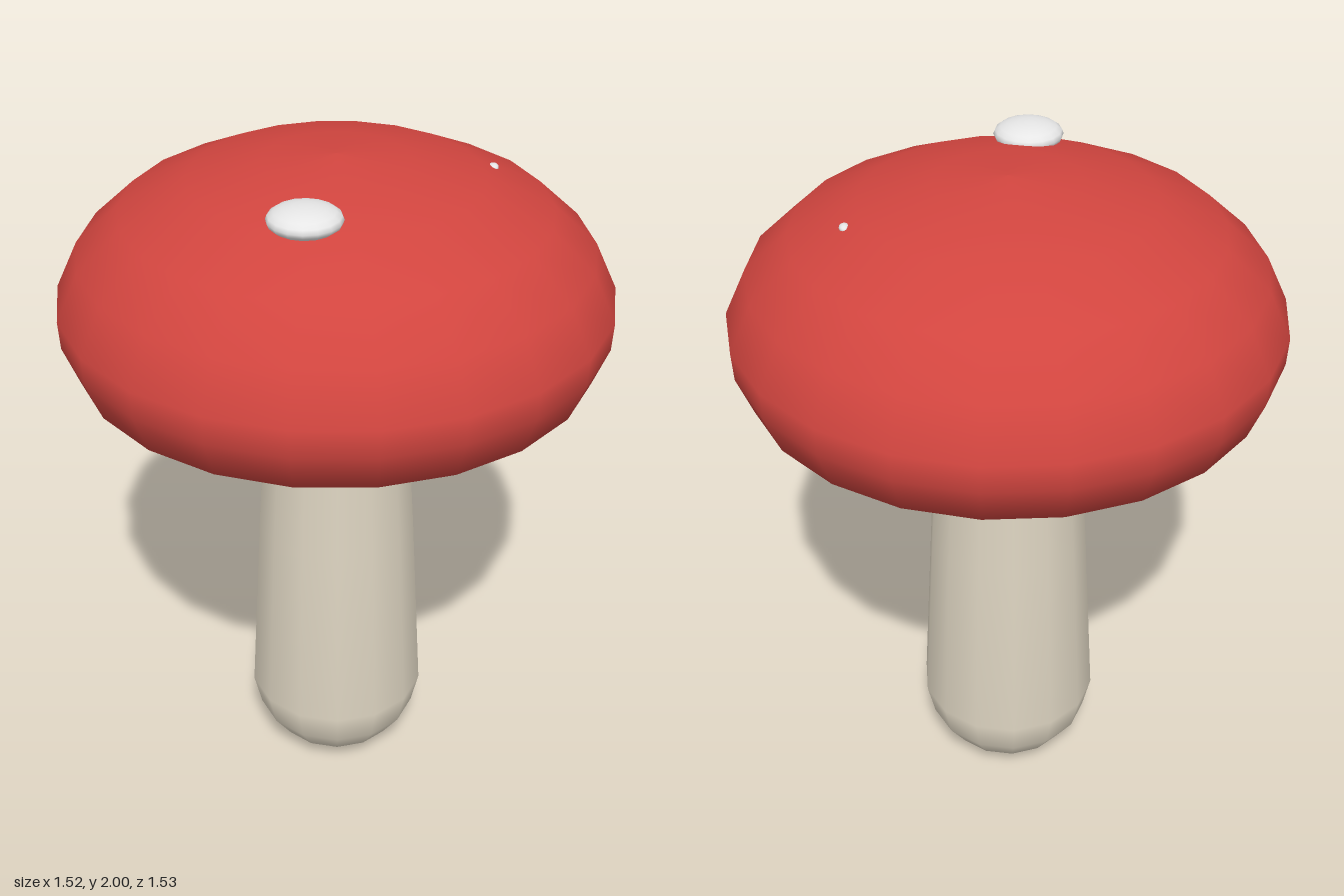
import * as THREE from 'three';

const paint = (name, color) => {
  const m = new THREE.MeshStandardMaterial({ color });
  m.name = name;
  return m;
};

// Round part turned from a profile of [radius, height], listed bottom to top
function turned(name, profile, sides, material) {
  const points = profile.map(([r, y]) => new THREE.Vector2(r, y));
  const mesh = new THREE.Mesh(new THREE.LatheGeometry(points, sides), material);
  mesh.name = name;
  return mesh;
}

// Flattened wart lying on the cap
function wart(name, position, radii, material) {
  const mesh = new THREE.Mesh(new THREE.SphereGeometry(1, 16, 10), material);
  mesh.scale.set(...radii);
  mesh.position.set(...position);
  mesh.name = name;
  return mesh;
}

export function createModel() {
  const red = paint('cap red', 0xd1453f);
  const cream = paint('stem cream', 0xdcd3c0);
  const white = paint('wart white', 0xe6e6e6);

  const group = new THREE.Group();
  group.name = 'mushroom';

  // Tapering stem with a rounded foot, running up into the cap
  group.add(turned('stem', [
    [0, 0], [0.1, 0.024], [0.19, 0.08], [0.245, 0.16], [0.268, 0.26],
    [0.235, 0.85], [0.198, 1.42], [0.19, 1.55], [0, 1.65],
  ], 14, cream));

  // Domed cap with a flat underside
  group.add(turned('cap', [
    [0, 1.42], [0.72, 1.42], [0.763, 1.53], [0.767, 1.61], [0.705, 1.74],
    [0.585, 1.85], [0.4, 1.935], [0.2, 1.98], [0, 1.997],
  ], 22, red));

  // One large wart at the front, and the tip of one sunk in the back
  group.add(wart('frontWart', [0.075, 1.963, 0.345], [0.098, 0.037, 0.098], white));
  const tip = wart('backWartTip', [0.34, 1.914, -0.278], [0.014, 0.01, 0.02], white);
  tip.rotation.y = 0.5;
  group.add(tip);

  return group;
}
